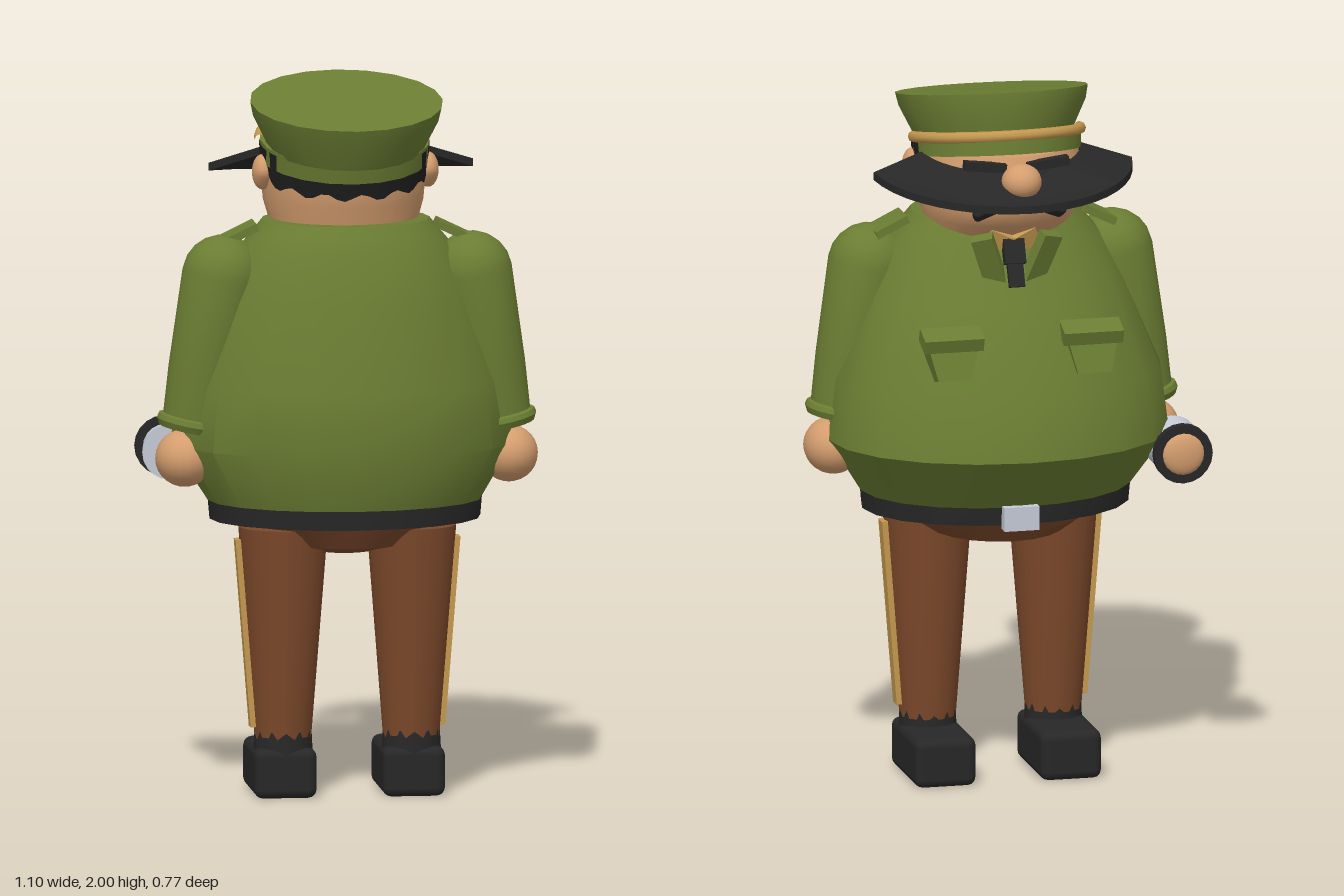
import * as THREE from 'three';
import { toCreasedNormals } from 'three/addons/utils/BufferGeometryUtils.js';
import { RoundedBoxGeometry } from 'three/addons/geometries/RoundedBoxGeometry.js';

const mat = (name, color, side = THREE.FrontSide) => {
  const m = new THREE.MeshStandardMaterial({ color, side });
  m.name = name;
  return m;
};

// Closed body from elliptical rows [y, halfWidth, zBack, zFront], bottom to top
function loft(rows, n = 20, crease = 0.6) {
  const pos = [], idx = [];
  for (const [y, rx, zb, zf] of rows) {
    for (let j = 0; j < n; j++) {
      const a = (j / n) * Math.PI * 2;
      pos.push(Math.sin(a) * rx, y, (zb + zf) / 2 + Math.cos(a) * (zb - zf) / 2);
    }
  }
  const last = rows.length - 1, lo = pos.length / 3, hi = lo + 1;
  for (const r of [rows[0], rows[last]]) pos.push(0, r[0], (r[2] + r[3]) / 2);
  for (let j = 0; j < n; j++) {
    const k = (j + 1) % n;
    for (let i = 0; i < last; i++) {
      const a = i * n + j, b = i * n + k;
      idx.push(a, b, b + n, a, b + n, a + n);
    }
    idx.push(lo, k, j, hi, last * n + j, last * n + k);
  }
  const g = new THREE.BufferGeometry();
  g.setAttribute('position', new THREE.Float32BufferAttribute(pos, 3));
  g.setIndex(idx);
  return toCreasedNormals(g, crease);
}

// Apply a rule to every vertex
function bend(g, rule) {
  const p = g.attributes.position, v = new THREE.Vector3();
  for (let i = 0; i < p.count; i++) {
    rule(v.fromBufferAttribute(p, i));
    p.setXYZ(i, v.x, v.y, v.z);
  }
  g.computeVertexNormals();
  return g;
}

const lathe = (pts, n = 20) =>
  toCreasedNormals(new THREE.LatheGeometry(pts.map(p => new THREE.Vector2(...p)), n), 0.6);

export function createModel() {
  const green = mat('uniform green', 0x6b7d33);
  const brown = mat('trouser brown', 0x7b482a);
  const skin = mat('skin', 0xd49d6e);
  const gold = mat('gold trim', 0xc4984f);
  const black = mat('black', 0x272727);
  const hairBlack = mat('hair black', 0x1e1e1e, THREE.DoubleSide);
  const silver = mat('silver', 0xc4cad6);

  const model = new THREE.Group();
  const root = new THREE.Group();
  root.name = 'officer';
  root.position.x = 0.01;
  model.add(root);
  const add = (name, geo, m, pos = [0, 0, 0], rot = [0, 0, 0], parent = root) => {
    const mesh = new THREE.Mesh(geo, m);
    mesh.name = name;
    mesh.position.set(...pos);
    mesh.rotation.set(...rot);
    parent.add(mesh);
    return mesh;
  };
  const box = (x, y, z) => new THREE.BoxGeometry(x, y, z);
  const ball = (x, y, z) => new THREE.SphereGeometry(1, 20, 14).scale(x, y, z);

  // Jacket, belt and hips
  add('jacket', loft([
    [0.82, 0.38, 0.33, -0.25], [0.985, 0.485, 0.387, -0.387], [1.16, 0.465, 0.37, -0.357],
    [1.4, 0.37, 0.325, -0.245], [1.54, 0.3, 0.29, -0.175], [1.585, 0.262, 0.268, -0.155],
    [1.618, 0.235, 0.25, -0.14],
  ]), green);
  add('belt', loft([[0.775, 0.38, 0.33, -0.25], [0.832, 0.385, 0.333, -0.256]]), black);
  add('buckle', box(0.1, 0.068, 0.04), silver, [0, 0.799, -0.262]);
  add('hips', loft([
    [0.68, 0.08, 0.1, -0.05], [0.71, 0.19, 0.24, -0.18], [0.78, 0.3, 0.285, -0.235],
  ]), brown);

  // Head
  add('head', loft([
    [1.55, 0.19, 0.2, -0.13], [1.62, 0.212, 0.21, -0.2], [1.67, 0.226, 0.232, -0.24],
    [1.75, 0.232, 0.242, -0.23], [1.82, 0.222, 0.23, -0.205],
  ], 24, 0.9), skin);
  add('nose', ball(0.056, 0.05, 0.058), skin, [0, 1.768, -0.276]);

  for (const s of [-1, 1]) {
    // Face details
    add('ear', bend(ball(0.03, 0.05, 0.045), v => { if (v.y < 0) v.z *= 1 + v.y * 10; }),
      skin, [s * 0.232, 1.75, 0.05]);
    add('eyebrow', box(0.12, 0.025, 0.03), black, [s * 0.09, 1.8, -0.212], [0, 0, s * 0.12]);
    add('moustache', new RoundedBoxGeometry(0.13, 0.03, 0.05, 2, 0.012), black,
      [s * 0.07, 1.69, -0.245], [0.6, -s * 0.2, -s * 0.3]);

    // Collar and lapels
    add('shirtCollar', box(0.07, 0.09, 0.03), gold, [s * 0.045, 1.56, -0.155], [-0.3, -s * 0.2, s * 0.4]);
    add('lapel', box(0.06, 0.15, 0.035), green, [s * 0.075, 1.53, -0.2], [-0.35, -s * 0.3, -s * 0.35]);

    // Chest pockets
    add('pocketFlap', box(0.17, 0.04, 0.07), green, [s * 0.2, 1.325, -0.275], [-0.35, 0, 0]);
    add('pocket', bend(box(0.15, 0.11, 0.07), v => { if (v.y < 0) v.x *= 0.65; }).toNonIndexed(),
      green, [s * 0.2, 1.262, -0.272], [0.25, 0, 0]).geometry.computeVertexNormals();

    // Arm: sleeve with a domed shoulder, cuff and hand
    const wrist = new THREE.Vector3(s * 0.43, 1.05, 0.08);
    const dir = new THREE.Vector3(s * 0.35, 1.47, 0.09).sub(wrist).normalize();
    const arm = new THREE.Group();
    arm.name = s > 0 ? 'leftArm' : 'rightArm';
    arm.position.copy(wrist);
    arm.quaternion.setFromUnitVectors(new THREE.Vector3(0, 1, 0), dir);
    root.add(arm);
    const dome = [0, 18, 36, 54, 72, 90].map(d => {
      const a = d * Math.PI / 180;
      return [0.113 * Math.cos(a), 0.425 + 0.113 * Math.sin(a)];
    });
    add('sleeve', lathe([[0, 0], [0.088, 0], [0.1, 0.15], ...dome]), green, undefined, undefined, arm);
    add('cuff', lathe([[0, -0.018], [0.095, -0.018], [0.104, 0], [0.1, 0.014], [0.085, 0.02]]),
      green, undefined, undefined, arm);
    add('hand', ball(0.082, 0.08, 0.094), skin, [s * 0.455, 0.952, 0.078]);
    add('epaulette', box(0.1, 0.022, 0.1), green, [s * 0.298, 1.582, 0.065], [0, 0, -s * 0.45]);

    // Leg with side stripe, ankle and shoe
    add('leg', bend(new THREE.CylinderGeometry(0.126, 0.079, 0.6, 20), v => { v.z += 0.01 * v.y; }),
      brown, [s * 0.18, 0.46, 0.094]);
    add('trouserStripe', box(0.025, 0.53, 0.045), gold, [s * 0.282, 0.46, 0.092], [0, 0, -s * 0.08]);
    add('ankle', new THREE.CylinderGeometry(0.08, 0.084, 0.07, 12), black, [s * 0.18, 0.15, 0.092]);
    add('shoe', new RoundedBoxGeometry(0.175, 0.14, 0.312, 2, 0.025), black, [s * 0.18, 0.07, 0.02]);
  }
  add('tieKnot', box(0.06, 0.07, 0.05), black, [0, 1.54, -0.175], [0.4, 0, 0]);
  add('tie', box(0.045, 0.08, 0.03), black, [0, 1.485, -0.2], [0.4, 0, 0]);

  // Cap, tipped back
  const cap = new THREE.Group();
  cap.name = 'cap';
  cap.position.set(0, 1.82, 0.025);
  cap.rotation.x = 0.19;
  root.add(cap);
  const onCap = (name, geo, m) => add(name, geo, m, undefined, undefined, cap);
  onCap('capBand', loft([[-0.035, 0.236, 0.245, -0.242], [0.02, 0.238, 0.248, -0.246]]), green);
  onCap('capCrown', loft([[0.01, 0.218, 0.26, -0.2], [0.1, 0.262, 0.288, -0.235], [0.138, 0.27, 0.296, -0.24]]), green);
  onCap('capCord', new THREE.TorusGeometry(0.239, 0.013, 8, 24, Math.PI)
    .rotateX(-Math.PI / 2).scale(1, 1.2, 1.0).translate(0, 0.018, 0), gold);

  // Hair around the back with a wavy lower edge
  onCap('hair', bend(new THREE.CylinderGeometry(0.238, 0.234, 0.09, 36, 1, true, -1.75, 3.5), v => {
    if (v.y < 0) v.y += 0.01 * Math.sin(Math.atan2(v.x, v.z) * 14) + (v.z < 0.08 ? 0.02 : 0);
    v.y -= 0.035;
  }), hairBlack);

  // Visor: a crescent sloping down outward and forward
  const crescent = new THREE.Shape();
  crescent.absarc(0, 0, 0.375, 0.15, Math.PI - 0.15, false);
  crescent.absarc(0, 0, 0.23, Math.PI - 0.15, 0.15, true);
  const visor = new THREE.ExtrudeGeometry(crescent, { depth: 0.022, bevelEnabled: false, curveSegments: 10 });
  add('visor', bend(visor.rotateX(-Math.PI / 2), v => {
    v.y += 1.782 - 0.3 * (Math.hypot(v.x, v.z) - 0.24) + 0.13 * (v.z + 0.05);
  }), black);

  // Torch held in the right hand, pointing forward
  const torch = new THREE.Group();
  torch.name = 'torch';
  torch.position.set(-0.475, 0.945, 0);
  torch.rotation.x = -Math.PI / 2;
  root.add(torch);
  const onTorch = (name, geo, m, y) => add(name, geo, m, [0, y, 0], undefined, torch);
  onTorch('torchHandle', new THREE.CylinderGeometry(0.03, 0.03, 0.16, 14), black, 0.04);
  onTorch('torchHead', new THREE.CylinderGeometry(0.062, 0.078, 0.12, 20), silver, 0.155);
  onTorch('torchRim', new THREE.CylinderGeometry(0.084, 0.084, 0.024, 20), black, 0.222);
  onTorch('torchLens', ball(0.06, 0.022, 0.06), skin, 0.232);

  return model;
}
